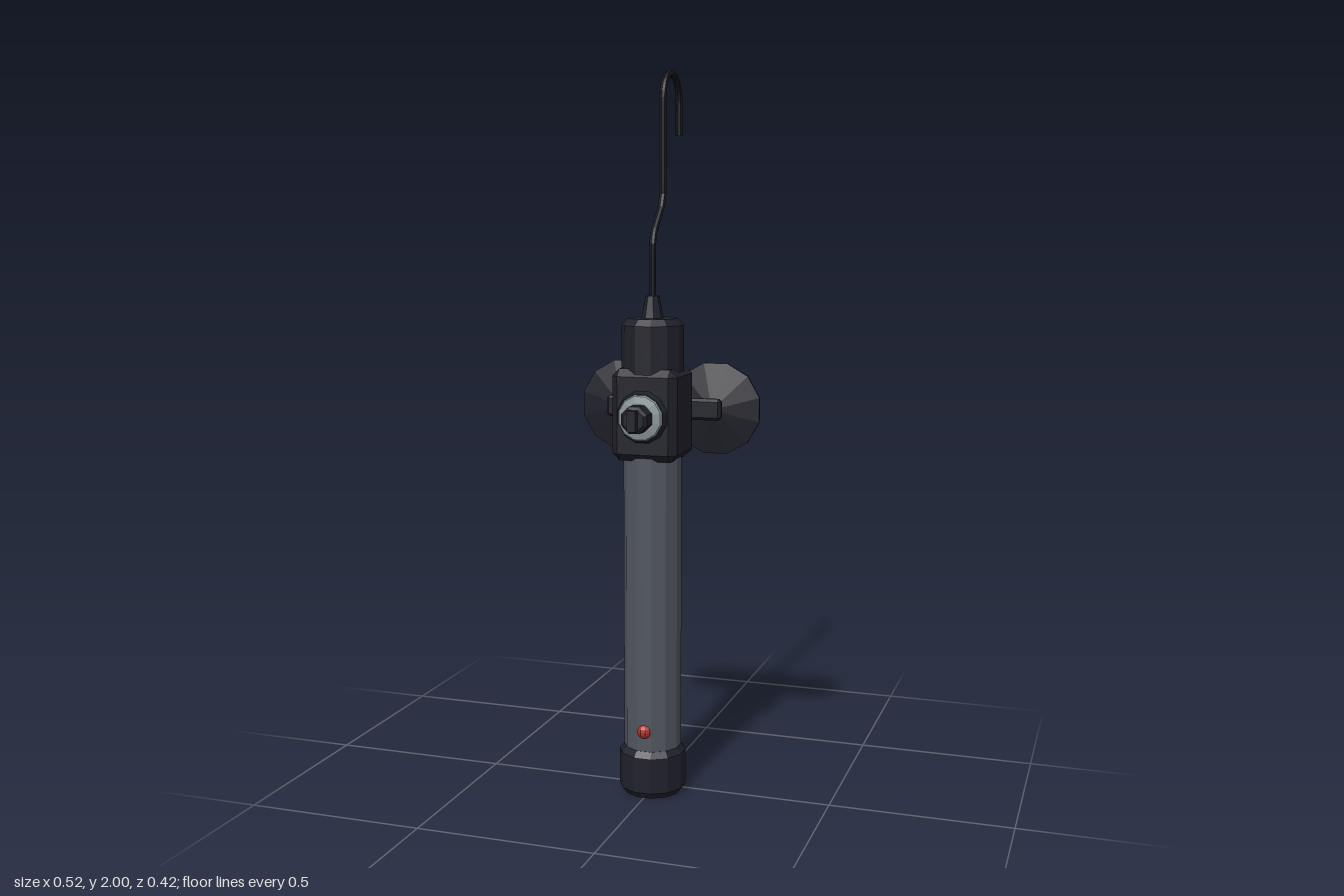
import * as THREE from 'three';
import { ConvexGeometry } from 'three/addons/geometries/ConvexGeometry.js';

const AXIS_Z = 0.033; // centre line of the lamp body
const MID_Y = 1.07;   // height of the switch and the suction mount

function material(name, color) {
  const m = new THREE.MeshStandardMaterial({ color, flatShading: true });
  m.name = name;
  return m;
}

// Faceted solid of revolution; profile is [radius to flat, height], bottom to top
function turned(profile, sides) {
  const k = 1 / Math.cos(Math.PI / sides);
  const points = profile.map(([r, h]) => new THREE.Vector2(r * k, h));
  return new THREE.LatheGeometry(points, sides, Math.PI / sides);
}

// Box with every edge cut at 45 degrees
function chamferBox(w, h, d, c) {
  const points = [];
  for (const sx of [-1, 1]) for (const sy of [-1, 1]) for (const sz of [-1, 1]) {
    const x = w / 2, y = h / 2, z = d / 2;
    points.push(
      new THREE.Vector3(sx * x, sy * (y - c), sz * (z - c)),
      new THREE.Vector3(sx * (x - c), sy * y, sz * (z - c)),
      new THREE.Vector3(sx * (x - c), sy * (y - c), sz * z));
  }
  return new ConvexGeometry(points);
}

export function createModel() {
  const model = new THREE.Group();
  model.name = 'hangingWorkLamp';
  const black = material('black plastic', 0x20202a);
  const wire = material('dark wire', 0x191920);
  const grey = material('grey tube', 0x50555e);
  const metal = material('pale metal', 0x87949a);
  const red = material('red button', 0xb03028);

  function add(name, geometry, mat, x = 0, y = 0, z = 0) {
    const mesh = new THREE.Mesh(geometry, mat);
    mesh.name = name;
    mesh.position.set(x, y, z);
    model.add(mesh);
    return mesh;
  }
  const upright = (name, profile, mat, sides = 12) =>
    add(name, turned(profile, sides), mat, 0, 0, AXIS_Z);
  // Turned part whose axis runs along z
  const facing = (name, profile, mat, x = 0, sides = 12) =>
    add(name, turned(profile, sides).rotateX(Math.PI / 2), mat, x, MID_Y, 0);

  // Body
  upright('bottomCap', [[0, 0], [0.077, 0], [0.09, 0.018], [0.09, 0.118], [0.078, 0.134], [0, 0.134]], black);
  upright('tube', [[0.077, 0.12], [0.077, 0.96]], grey);
  add('switchHousing', chamferBox(0.184, 0.25, 0.175, 0.02), black, 0, 1.072, AXIS_Z);
  upright('topCap', [[0.082, 1.18], [0.082, 1.312], [0.066, 1.33], [0, 1.33]], black);
  upright('hookCollar', [[0.029, 1.325], [0.017, 1.39], [0, 1.39]], black, 8);

  // Indicator button
  add('redButton', new THREE.SphereGeometry(0.022, 10, 8), red, 0, 0.19, 0.1);

  // Hook: two short bends, then a half circle over the top
  const path = new THREE.CurvePath();
  const pt = (z, y) => new THREE.Vector3(0, y, z);
  const stops = [[0.033, 1.37], [0.033, 1.53], [0.022, 1.56], [-0.04, 1.625], [-0.055, 1.66], [-0.055, 1.918]];
  for (let i = 0; i <= 10; i++) {
    const a = Math.PI * i / 10;
    if (i) stops.push([-0.1275 + 0.0725 * Math.cos(a), 1.918 + 0.0725 * Math.sin(a)]);
  }
  stops.push([-0.2, 1.825]);
  for (let i = 1; i < stops.length; i++) {
    path.add(new THREE.LineCurve3(pt(...stops[i - 1]), pt(...stops[i])));
  }
  add('hook', new THREE.TubeGeometry(path, 90, 0.01, 8), wire);
  const end = new THREE.CircleGeometry(0.01, 8).rotateX(Math.PI / 2);
  add('hookEnd', end, wire, 0, 1.825, -0.2);

  // Rotary switch on the front
  facing('switchCollar', [[0.07, 0.115], [0.07, 0.12], [0.063, 0.139], [0, 0.139]], black);
  facing('switchRing', [[0.062, 0.138], [0.058, 0.143], [0.04, 0.147], [0, 0.147]], metal);
  facing('switchKnob', [[0.036, 0.145], [0.036, 0.187], [0.028, 0.195], [0, 0.195]], black, 0, 8);
  add('switchLever', new THREE.BoxGeometry(0.024, 0.056, 0.024), black, 0, MID_Y, 0.202);

  // Suction mount on the back
  add('mountBar', chamferBox(0.334, 0.06, 0.026, 0.008), black, 0, MID_Y + 0.004, -0.065);
  for (const [side, x] of [['left', 0.133], ['right', -0.133]]) {
    facing(side + 'CupStem', [[0.024, -0.1], [0.024, -0.07]], black, x);
    facing(side + 'SuctionCup', [[0, -0.128], [0.127, -0.128], [0.127, -0.121], [0.028, -0.094], [0, -0.094]], black, x);
  }
  return model;
}
